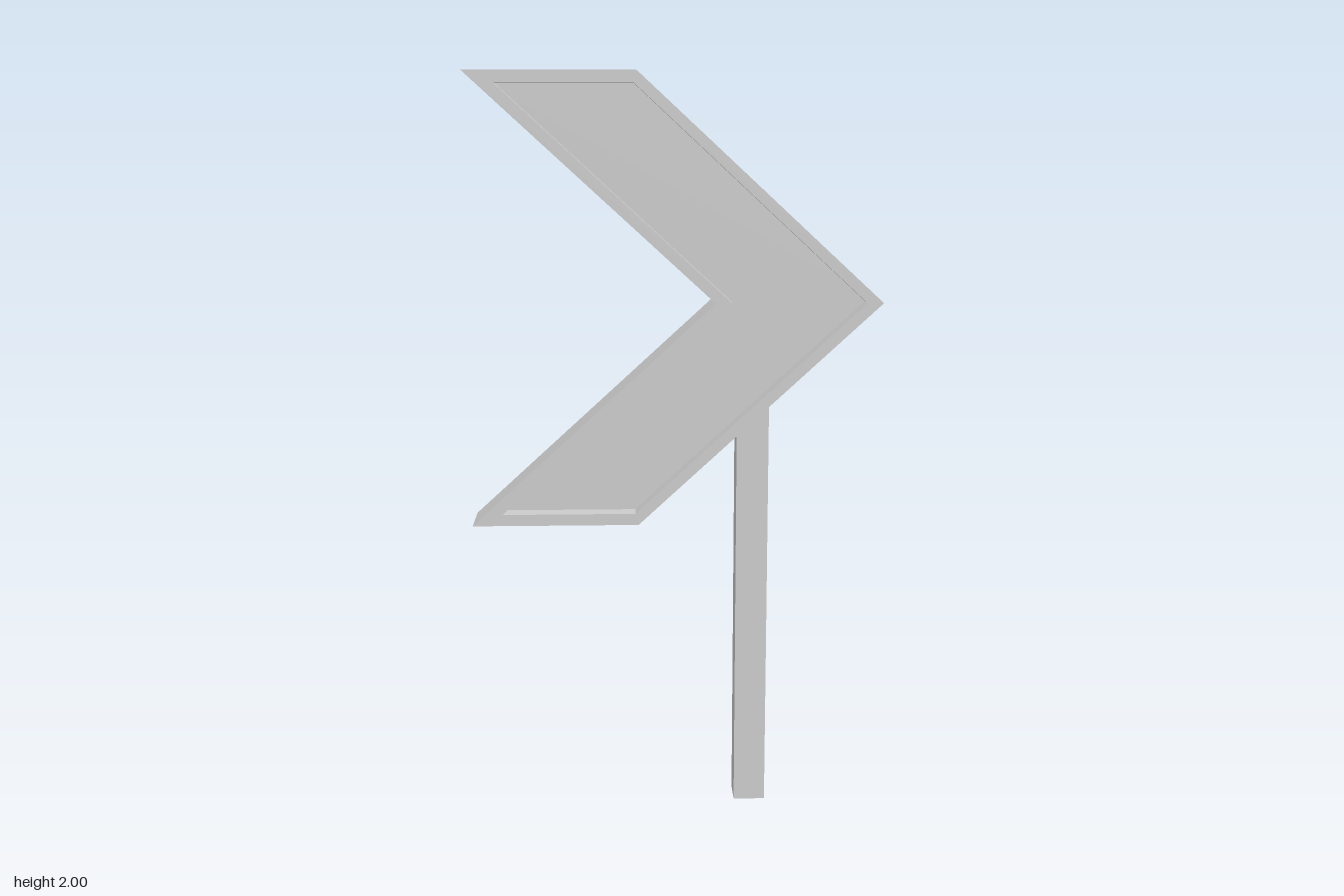
import * as THREE from 'three';
import { toCreasedNormals } from 'three/addons/utils/BufferGeometryUtils.js';

const material = new THREE.MeshStandardMaterial({ color: 0xcccccc });
const MID = 1.42; // height of the arrow tip
const BACK = -0.022, FLOOR = 0.07, FRONT = 0.12; // depths of the sign

// Chevron symmetric about the tip height, pointing to +x
function chevronPoints(left, right, tip, notch, half) {
  return [
    [left, MID - half], [right, MID - half], [tip, MID],
    [right, MID + half], [left, MID + half], [notch, MID],
  ].map(([x, y]) => new THREE.Vector2(x, y));
}

export function createModel() {
  const model = new THREE.Group();
  const add = (name, geometry, x = 0, y = 0, z = 0) => {
    const mesh = new THREE.Mesh(geometry, material);
    mesh.name = name;
    mesh.position.set(x, y, z);
    model.add(mesh);
  };
  const extrude = (shape, depth) =>
    new THREE.ExtrudeGeometry(shape, { depth, bevelEnabled: false, curveSegments: 10 });

  // Arrow panel with a raised rim around its recessed face
  const outer = chevronPoints(-0.533, -0.1, 0.53, 0.1, 0.58);
  const inner = chevronPoints(-0.455, -0.108, 0.488, 0.143, 0.55);
  add('arrowPanel', extrude(new THREE.Shape(outer), FLOOR - BACK), 0, 0, BACK);
  const rim = new THREE.Shape(outer);
  rim.holes.push(new THREE.Path(inner));
  add('arrowRim', extrude(rim, FRONT - FLOOR), 0, 0, FLOOR);

  // Square post behind the arrow
  const postBack = -0.107, postWidth = 0.086, postX = 0.209;
  add('post', new THREE.BoxGeometry(postWidth, 1.4, BACK - postBack), postX, 0.7, (BACK + postBack) / 2);

  // Mounting cap: side profile with a rounded upper back corner
  const capBack = -0.12, capWidth = 0.12, capBottom = 1.34, capTop = 1.513, r = 0.06;
  const profile = new THREE.Shape();
  profile.moveTo(-BACK, capBottom);
  profile.lineTo(-capBack, capBottom);
  profile.lineTo(-capBack, capTop - r);
  profile.absarc(-capBack - r, capTop - r, r, 0, Math.PI / 2, false);
  profile.lineTo(-BACK, capTop);
  profile.closePath();
  const cap = extrude(profile, capWidth).rotateY(Math.PI / 2);
  add('mountCap', toCreasedNormals(cap, 0.6), postX - capWidth / 2);

  // Collar tapering from the cap down to the post
  const collarHeight = 0.022;
  const collar = new THREE.BoxGeometry(capWidth, collarHeight, BACK - capBack).toNonIndexed();
  collar.translate(0, 0, (capBack - BACK) / 2);
  const p = collar.attributes.position;
  for (let i = 0; i < p.count; i++) {
    if (p.getY(i) < 0) {
      p.setX(i, p.getX(i) * postWidth / capWidth);
      p.setZ(i, p.getZ(i) * (BACK - postBack) / (BACK - capBack));
    }
  }
  collar.computeVertexNormals();
  add('mountCollar', collar, postX, capBottom - collarHeight / 2, BACK);

  return model;
}
